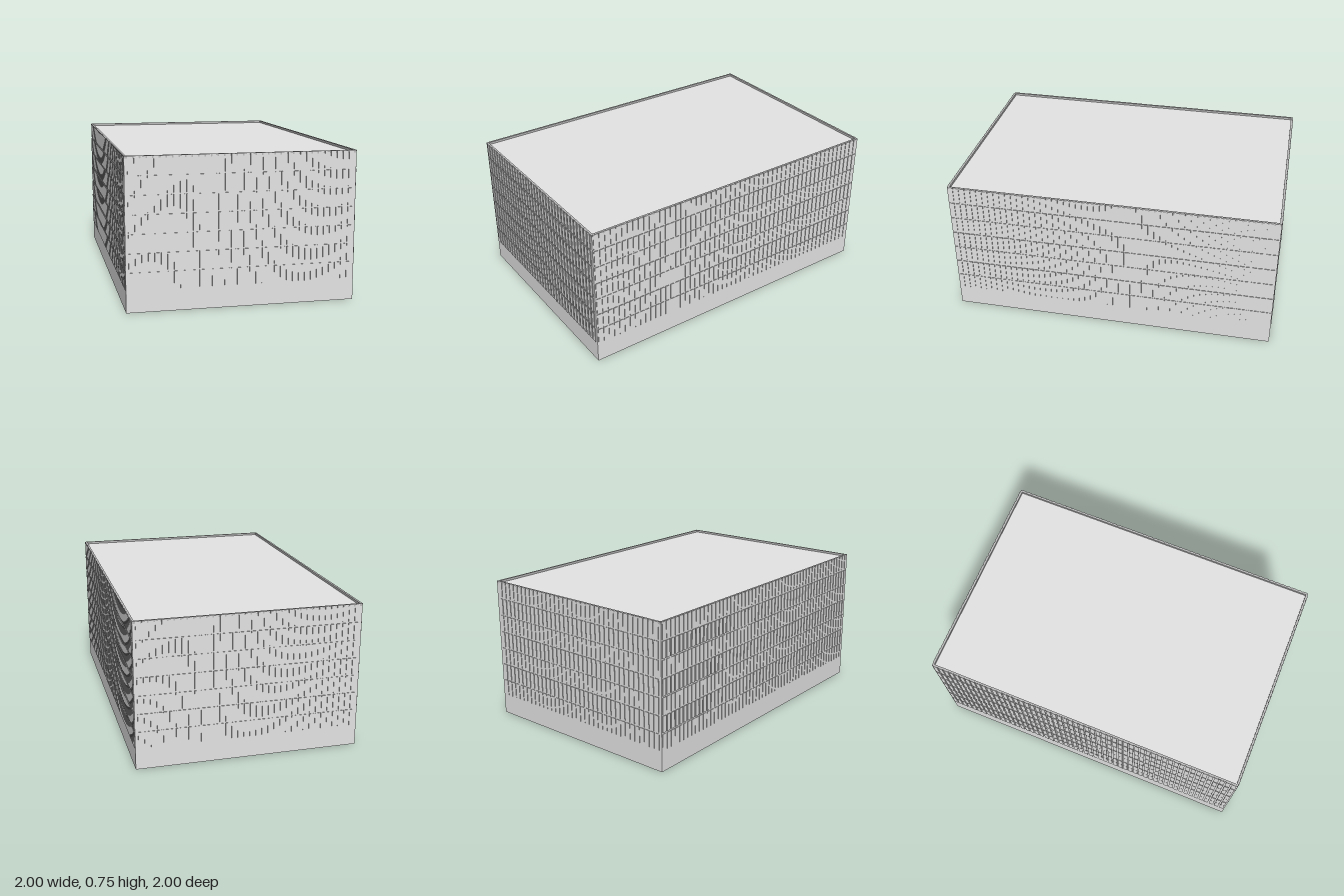
import * as THREE from 'three';
import { mergeGeometries } from 'three/addons/utils/BufferGeometryUtils.js';

const LONG = 1.694, SHORT = 1.128, HEIGHT = 0.745, RIM = 0.01;
const FLOORS = 7, FLOOR_H = 0.0917, PANE_H = 0.084, SILL = 0.11;
const COLUMN = 0.0307, PANE_W = 0.023;

const wallMat = new THREE.MeshStandardMaterial({ color: 0xe4e4e4 });
wallMat.name = 'wall grey';
const trimMat = new THREE.MeshStandardMaterial({ color: 0xbbbbbb });
trimMat.name = 'trim grey';

function box(name, w, h, d, x, y, z, mat) {
  const m = new THREE.Mesh(new THREE.BoxGeometry(w, h, d), mat);
  m.name = name;
  m.position.set(x, y, z);
  return m;
}

// One facade: an even grid of shallow window panels, pale in front with darker edges.
function windowGrid(name, width, halfDepth, angle) {
  const edges = [], fronts = [];
  const count = Math.floor(width / COLUMN);
  for (let f = 0; f < FLOORS; f++) {
    const y = SILL + f * FLOOR_H + PANE_H / 2;
    const depth = f % 2 ? 0.0036 : 0.0028; // every second floor stands out a little more
    for (let i = 0; i < count; i++) {
      const u = (i - (count - 1) / 2) * COLUMN;
      fronts.push(new THREE.PlaneGeometry(PANE_W, PANE_H).translate(u, y, depth));
      for (const s of [1, -1]) {
        edges.push(
          new THREE.PlaneGeometry(depth, PANE_H).rotateY(s * Math.PI / 2)
            .translate(u + s * PANE_W / 2, y, depth / 2),
          new THREE.PlaneGeometry(PANE_W, depth).rotateX(-s * Math.PI / 2)
            .translate(u, y + s * PANE_H / 2, depth / 2),
        );
      }
    }
  }
  const group = new THREE.Group();
  group.name = name;
  group.rotation.y = angle;
  for (const [part, list, mat] of [['panelEdges', edges, trimMat], ['panelFronts', fronts, wallMat]]) {
    const mesh = new THREE.Mesh(mergeGeometries(list), mat);
    mesh.name = part;
    mesh.position.z = halfDepth;
    group.add(mesh);
  }
  return group;
}

export function createModel() {
  const root = new THREE.Group();
  root.name = 'apartmentBlock';
  const block = new THREE.Group();
  block.name = 'building';
  block.rotation.y = -Math.PI / 4;
  root.add(block);

  // Main body with a sunken roof
  const roofY = HEIGHT - 0.012;
  block.add(box('body', LONG, roofY, SHORT, 0, roofY / 2, 0, wallMat));

  // Parapet around the roof
  const rimH = HEIGHT - roofY, rimY = roofY + rimH / 2;
  for (const s of [1, -1]) {
    block.add(box('longParapet', LONG, rimH, RIM, 0, rimY, s * (SHORT - RIM) / 2, trimMat));
    block.add(box('shortParapet', RIM, rimH, SHORT - 2 * RIM, s * (LONG - RIM) / 2, rimY, 0, trimMat));
  }

  // Windows on all four facades
  block.add(windowGrid('longFrontWindows', LONG, SHORT / 2, 0));
  block.add(windowGrid('longBackWindows', LONG, SHORT / 2, Math.PI));
  block.add(windowGrid('leftEndWindows', SHORT, LONG / 2, Math.PI / 2));
  block.add(windowGrid('rightEndWindows', SHORT, LONG / 2, -Math.PI / 2));

  return root;
}
